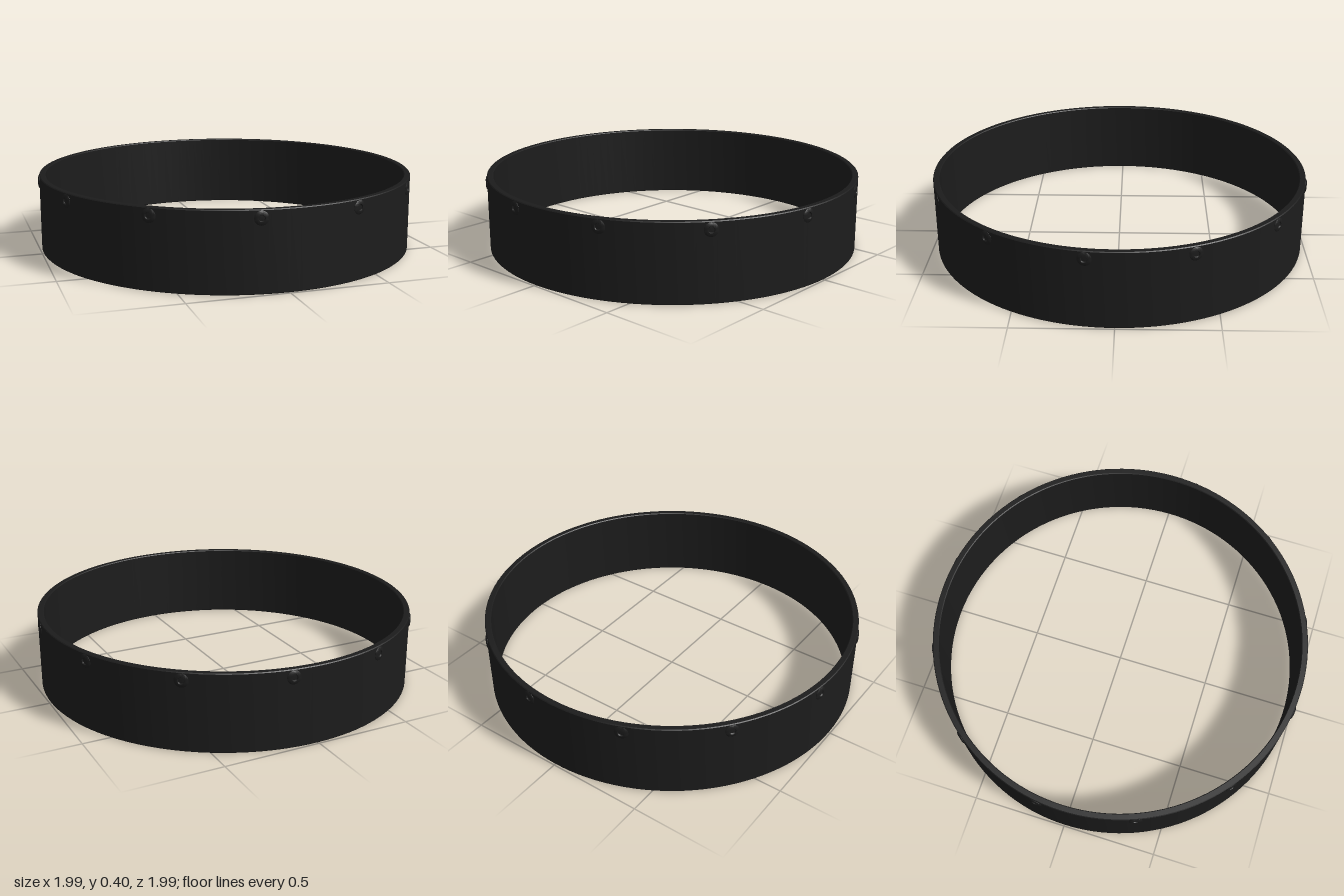
import * as THREE from 'three';
import { toCreasedNormals } from 'three/addons/utils/BufferGeometryUtils.js';

const lathe = (points, segments) => toCreasedNormals(
  new THREE.LatheGeometry(points.map(([r, y]) => new THREE.Vector2(r, y)), segments), 0.5);

export function createModel() {
  const group = new THREE.Group();
  const material = new THREE.MeshStandardMaterial({ color: 0x1c1c1c });
  const outer = 0.993, inner = 0.96, height = 0.4, bevel = 0.004;

  // Thin hoop with slightly eased edges
  const band = new THREE.Mesh(lathe([
    [inner + bevel, 0], [outer - bevel, 0], [outer, bevel],
    [outer, height - bevel], [outer - bevel, height],
    [inner + bevel, height], [inner, height - bevel],
    [inner, bevel], [inner + bevel, 0],
  ], 128), material);
  band.name = 'band';
  group.add(band);

  // Low button-head screws with a shallow socket, evenly spaced below the top edge
  const screwGeometry = lathe([
    [0.035, -0.008], [0.035, 0.001], [0.031, 0.004], [0.025, 0.006],
    [0.017, 0.007], [0.014, 0.001], [0, 0.001],
  ], 24).rotateX(Math.PI / 2);

  for (let i = 0; i < 12; i++) {
    const angle = THREE.MathUtils.degToRad(-8 + i * 30);
    const screw = new THREE.Mesh(screwGeometry, material);
    screw.name = `screw${i + 1}`;
    screw.position.set(Math.sin(angle) * outer, 0.36, Math.cos(angle) * outer);
    screw.rotation.y = angle;
    group.add(screw);
  }
  return group;
}
